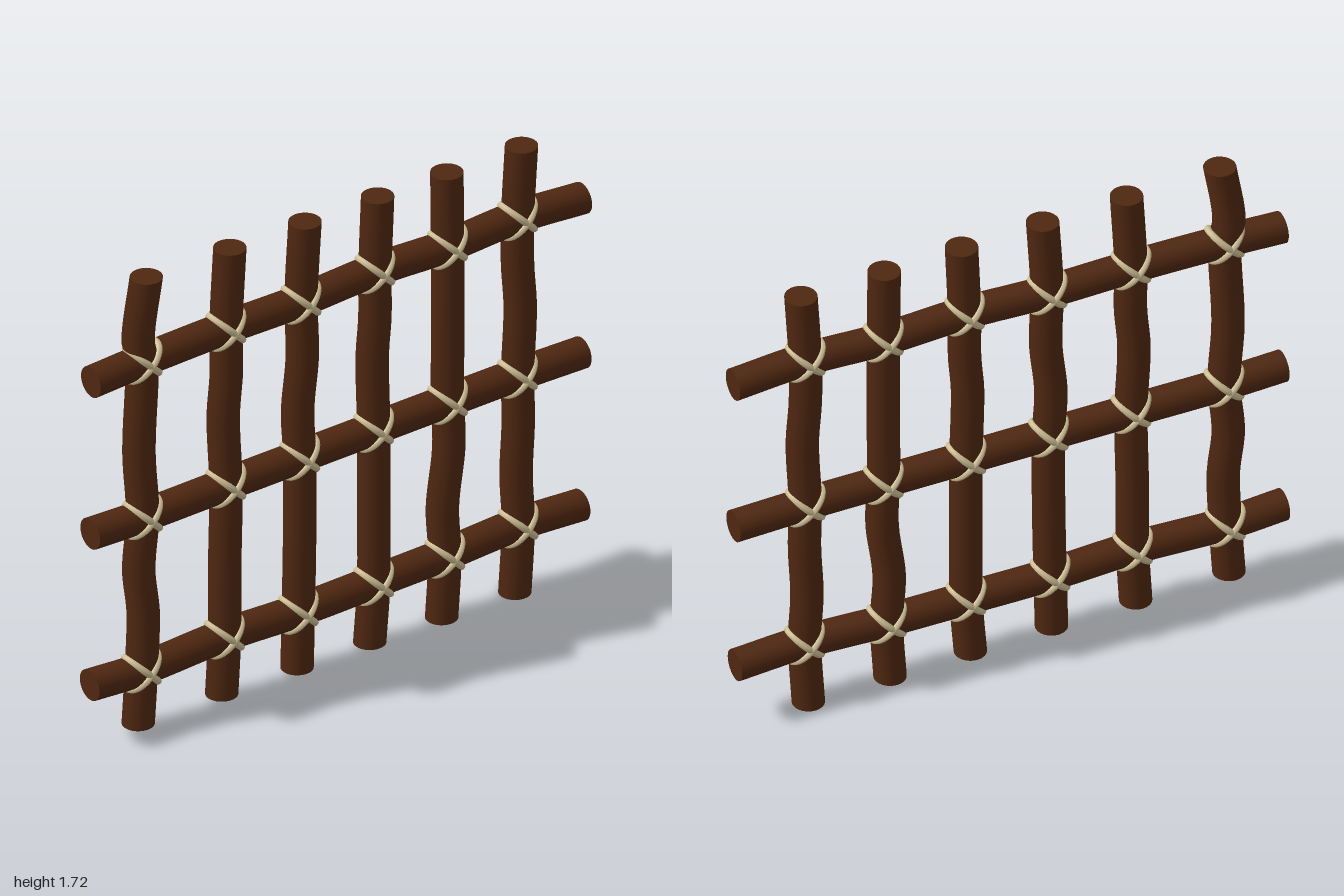
import * as THREE from 'three';

const R = 0.055;
const wood = new THREE.MeshStandardMaterial({ color: 0x4f2711 });
const rope = new THREE.MeshStandardMaterial({ color: 0xcfc096 });

// Uprights: centre line as [y, x] pairs from bottom to top
const uprights = [
  [[0.035, -0.803], [0.24, -0.79], [0.45, -0.783], [0.62, -0.801], [0.82, -0.785], [1.07, -0.8], [1.41, -0.787], [1.5, -0.804], [1.725, -0.77]],
  [[0.03, -0.464], [0.24, -0.453], [0.5, -0.452], [0.82, -0.447], [1.08, -0.458], [1.25, -0.445], [1.42, -0.447], [1.718, -0.431]],
  [[0.024, -0.158], [0.24, -0.153], [0.5, -0.148], [0.82, -0.147], [1.0, -0.156], [1.2, -0.137], [1.42, -0.142], [1.712, -0.126]],
  [[0.018, 0.137], [0.24, 0.153], [0.5, 0.153], [0.82, 0.153], [1.1, 0.147], [1.25, 0.158], [1.42, 0.158], [1.706, 0.169]],
  [[0.011, 0.429], [0.24, 0.442], [0.43, 0.432], [0.65, 0.458], [0.83, 0.453], [1.1, 0.453], [1.42, 0.453], [1.7, 0.45]],
  [[0.004, 0.726], [0.26, 0.74], [0.45, 0.731], [0.65, 0.74], [0.83, 0.737], [1.08, 0.748], [1.25, 0.737], [1.42, 0.737], [1.696, 0.753]],
];

// Rails: centre line as [x, y] pairs from right to left side of the model
const rails = [
  [[-1, 0.247], [-0.79, 0.235], [-0.453, 0.247], [-0.153, 0.237], [0.153, 0.24], [0.442, 0.244], [0.74, 0.256], [0.993, 0.243]],
  [[-0.998, 0.823], [-0.785, 0.817], [-0.447, 0.82], [-0.147, 0.822], [0.153, 0.824], [0.453, 0.826], [0.737, 0.827], [0.998, 0.822]],
  [[-0.995, 1.4], [-0.787, 1.41], [-0.447, 1.417], [-0.142, 1.415], [0.158, 1.427], [0.453, 1.417], [0.737, 1.428], [1, 1.41]],
];

// Smooth interpolation of the sideways offset at position t
function offsetAt(points, t) {
  let i = 0;
  while (i < points.length - 2 && t > points[i + 1][0]) i++;
  const [a, va] = points[i], [b, vb] = points[i + 1];
  const slope = (k) => {
    const p = points[Math.max(k - 1, 0)], q = points[Math.min(k + 1, points.length - 1)];
    return (q[1] - p[1]) / (q[0] - p[0]);
  };
  const h = b - a, s = (t - a) / h, s2 = s * s, s3 = s2 * s;
  return (2 * s3 - 3 * s2 + 1) * va + (s3 - 2 * s2 + s) * h * slope(i)
    + (3 * s2 - 2 * s3) * vb + (s3 - s2) * h * slope(i + 1);
}

// Capped round pole, bent sideways along its length
function pole(points, horizontal) {
  const start = points[0][0], end = points[points.length - 1][0];
  const geo = new THREE.CylinderGeometry(R, R, end - start, 32, 48);
  const pos = geo.attributes.position;
  for (let i = 0; i < pos.count; i++) {
    const t = pos.getY(i) + (start + end) / 2;
    pos.setY(i, t);
    // A rail is turned onto its side, which maps local x to -y
    const off = offsetAt(points, t);
    pos.setX(i, pos.getX(i) + (horizontal ? -off : off));
  }
  if (horizontal) {
    // (x, y) -> (y, -x)
    geo.rotateZ(-Math.PI / 2);
  }
  return new THREE.Mesh(geo, wood);
}

// Two elliptical loops crossing diagonally around a joint
const loopGeo = new THREE.TorusGeometry(R, 0.0125, 10, 40);
{
  const pos = loopGeo.attributes.position;
  for (let i = 0; i < pos.count; i++) {
    const a = Math.atan2(pos.getY(i), pos.getX(i));
    pos.setX(i, pos.getX(i) + R * (Math.SQRT2 - 1) * Math.cos(a));
  }
  loopGeo.rotateX(Math.PI / 2);
  loopGeo.computeVertexNormals();
}

function lashing(x, y) {
  const g = new THREE.Group();
  g.name = 'lashing';
  for (const s of [-1, 1]) {
    const loop = new THREE.Mesh(loopGeo, rope);
    loop.name = 'ropeLoop';
    loop.rotation.z = s * Math.PI / 4;
    g.add(loop);
  }
  g.position.set(x, y, 0);
  return g;
}

export function createModel() {
  const model = new THREE.Group();
  model.name = 'lashedLattice';
  uprights.forEach((p) => {
    const m = pole(p, false);
    m.name = 'upright';
    model.add(m);
  });
  rails.forEach((p) => {
    const m = pole(p, true);
    m.name = 'rail';
    model.add(m);
    // Rope at every crossing
    for (const u of uprights) {
      const x = offsetAt(u, p[3][1]);
      model.add(lashing(x, offsetAt(p, x)));
    }
  });
  return model;
}
